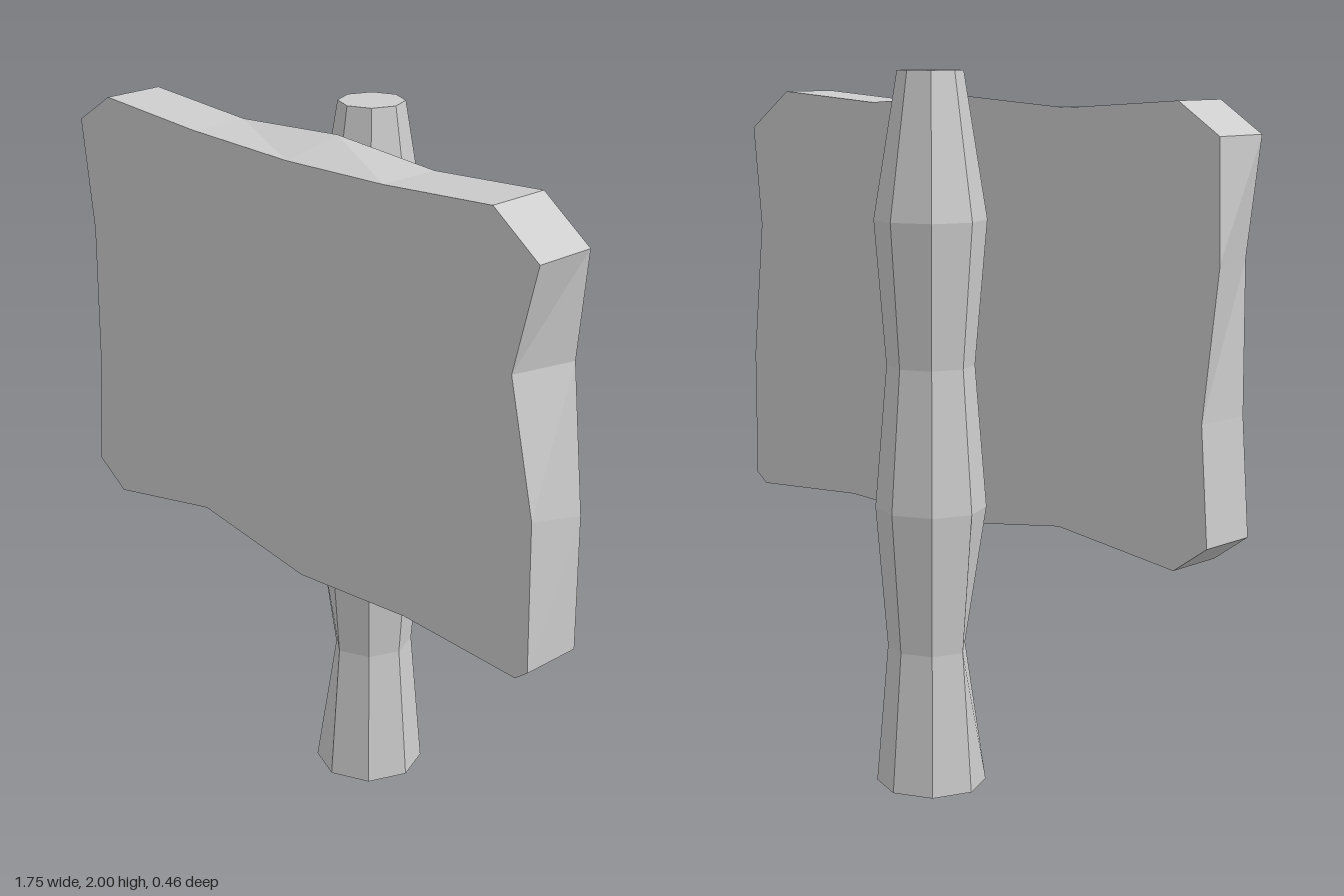
import * as THREE from 'three';

const wood = new THREE.MeshStandardMaterial({ color: 0xcccccc, flatShading: true });

// Eight-sided post that swells and narrows along its height
function makePost() {
  const rings = [[0, 0], [0.155, 0], [0.122, 0.4], [0.155, 0.8], [0.122, 1.2], [0.155, 1.6], [0.09, 2], [0, 2]];
  const geo = new THREE.LatheGeometry(rings.map(([r, y]) => new THREE.Vector2(r, y)), 8);
  const pos = geo.attributes.position;
  // one dented corner low on the front
  for (let i = 0; i < pos.count; i++) {
    if (Math.abs(pos.getY(i) - 0.4) < 0.01 && pos.getX(i) < -0.05 && pos.getZ(i) > 0.05) pos.setX(i, -0.05);
  }
  geo.computeVertexNormals();
  const post = new THREE.Mesh(geo, wood);
  post.name = 'post';
  post.position.z = -0.075;
  return post;
}

// Rough-hewn board: front outline, with a different back corner where given
function makeBoard() {
  const outline = [
    { front: [-0.75, 0.725] },
    { front: [-0.36, 0.797], back: [-0.36, 0.78] },
    { front: [0.04, 0.727] },
    { front: [0.44, 0.75] },
    { front: [0.83, 0.725] },
    { front: [0.87, 0.755] },
    { front: [0.865, 1.17], back: [0.87, 1.13] },
    { front: [0.785, 1.53], back: [0.83, 1.53] },
    { front: [0.86, 1.82] },
    { front: [0.71, 1.93] },
    { front: [0.35, 1.905] },
    { front: [0, 1.895], back: [0, 1.93] },
    { front: [-0.37, 1.905] },
    { front: [-0.735, 1.93] },
    { front: [-0.865, 1.845] },
    { front: [-0.825, 1.53], back: [-0.875, 1.53] },
    { front: [-0.83, 1.12] },
    { front: [-0.855, 0.8] },
  ];
  const shape = new THREE.Shape(outline.map((p) => new THREE.Vector2(...p.front)));
  const geo = new THREE.ExtrudeGeometry(shape, { depth: 0.18, bevelEnabled: false });
  const pos = geo.attributes.position;
  for (let i = 0; i < pos.count; i++) {
    if (pos.getZ(i) > 0.09) continue;
    const p = outline.find(({ front: [x, y] }) => Math.hypot(pos.getX(i) - x, pos.getY(i) - y) < 0.001);
    if (p?.back) pos.setXY(i, ...p.back);
  }
  geo.computeVertexNormals();
  const board = new THREE.Mesh(geo, wood);
  board.name = 'signBoard';
  board.position.z = 0.05;
  return board;
}

export function createModel() {
  const model = new THREE.Group();
  model.name = 'woodenSign';
  model.add(makePost(), makeBoard());
  return model;
}
